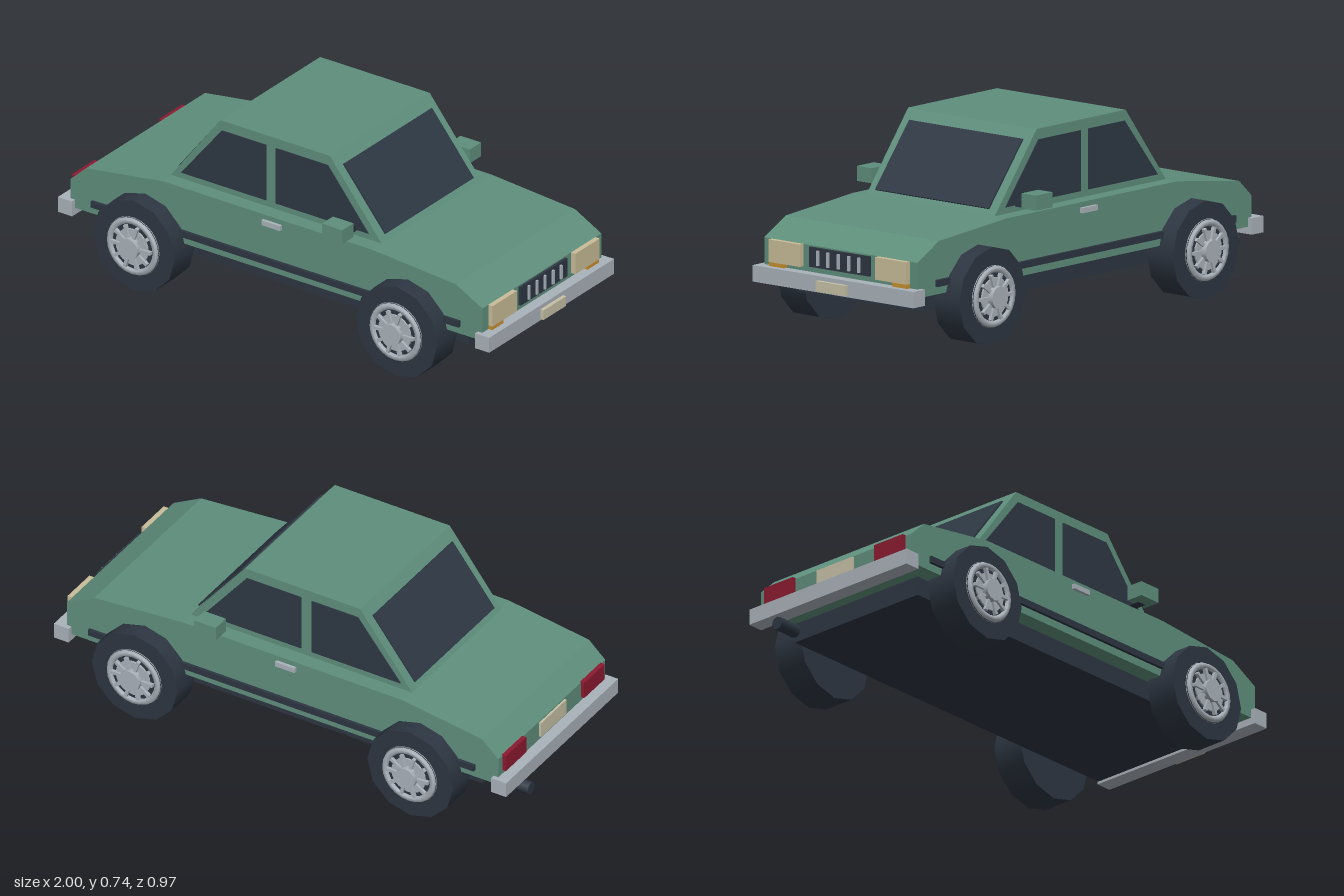
import * as THREE from 'three';

const mat = (name, color) => {
  const m = new THREE.MeshStandardMaterial({ color });
  m.name = name;
  return m;
};

export function createModel() {
  const car = new THREE.Group();
  car.name = 'car';
  const paint = mat('green paint', 0x5f8f7c);
  const dark = mat('dark rubber', 0x2d3642);
  const glass = mat('dark glass', 0x2e3844);
  const chrome = mat('chrome', 0xaab2ba);
  const cream = mat('headlight cream', 0xc9bd98);
  const plateMat = mat('plate ivory', 0xc6c1a6);
  const amber = mat('amber', 0xc8902c);
  const red = mat('tail light red', 0x8c1a30);

  const add = (name, geo, material, parent = car) => {
    const m = new THREE.Mesh(geo, material);
    m.name = name;
    parent.add(m);
    return m;
  };
  // Box given by its limits on each axis
  const box = (name, material, [x0, x1], [y0, y1], [z0, z1], parent = car) => {
    const m = add(name, new THREE.BoxGeometry(x1 - x0, y1 - y0, z1 - z0), material, parent);
    m.position.set((x0 + x1) / 2, (y0 + y1) / 2, (z0 + z1) / 2);
    return m;
  };
  // Side profile in x and y, extruded from z0 to z1
  const slab = (name, material, pts, z0, z1) => {
    const shape = new THREE.Shape(pts.map(([x, y]) => new THREE.Vector2(x, y)));
    const geo = new THREE.ExtrudeGeometry(shape, { depth: z1 - z0, bevelEnabled: false });
    return add(name, geo.translate(0, 0, z0), material);
  };
  // Side limits mirrored for s = -1
  const side = (s, a, b) => (s > 0 ? [a, b] : [-b, -a]);

  // Body, cabin and underside
  slab('body', paint, [[-0.94, 0.22], [0.94, 0.22], [0.94, 0.355], [0.82, 0.42],
    [0.44, 0.45], [-0.52, 0.45], [-0.87, 0.4], [-0.94, 0.335]], -0.378, 0.378);
  slab('cabin', paint, [[-0.53, 0.445], [0.44, 0.445], [0.2, 0.745], [-0.3, 0.745]], -0.317, 0.317);
  box('chassis', dark, [-0.83, 0.83], [0.145, 0.222], [-0.31, 0.31]);

  // Sloping windows, as thin plates lying on the cabin ends
  slab('windscreen', glass, [[0.424, 0.47], [0.429, 0.474], [0.2375, 0.709], [0.2325, 0.705]], -0.28, 0.28);
  slab('rearWindow', glass, [[-0.514, 0.47], [-0.331, 0.705], [-0.336, 0.709], [-0.519, 0.474]], -0.28, 0.28);

  for (const s of [1, -1]) {
    const label = s > 0 ? 'left' : 'right';
    const [w0, w1] = side(s, 0.315, 0.321);
    slab(label + 'RearSideWindow', glass, [[-0.478, 0.475], [-0.09, 0.475], [-0.09, 0.705], [-0.292, 0.705]], w0, w1);
    slab(label + 'FrontSideWindow', glass, [[-0.045, 0.475], [0.378, 0.475], [0.192, 0.705], [-0.045, 0.705]], w0, w1);

    // Side trim, handle and mirror
    box(label + 'SideTrim', dark, [-0.84, 0.84], [0.25, 0.276], side(s, 0.37, 0.39));
    box(label + 'DoorHandle', chrome, [-0.06, 0.025], [0.41, 0.43], side(s, 0.37, 0.391));
    box(label + 'MirrorArm', dark, [0.285, 0.322], [0.47, 0.495], side(s, 0.31, 0.395));
    box(label + 'Mirror', paint, [0.252, 0.346], [0.473, 0.53], side(s, 0.37, 0.441));

    // Lights
    box(label + 'Headlight', cream, [0.93, 0.96], [0.27, 0.355], side(s, 0.185, 0.34));
    box(label + 'Indicator', amber, [0.93, 0.957], [0.245, 0.27], side(s, 0.267, 0.34));
    box(label + 'TailLight', red, [-0.955, -0.93], [0.27, 0.338], side(s, 0.205, 0.35));
  }

  // Grille with upright bars
  box('grille', dark, [0.93, 0.951], [0.275, 0.35], [-0.148, 0.148]);
  for (let i = -2; i <= 2; i++) {
    const z = i * 0.051;
    box('grilleBar', chrome, [0.945, 0.959], [0.284, 0.341], [z - 0.005, z + 0.005]);
  }

  // Bumpers, plates and exhaust
  box('frontBumper', chrome, [0.92, 0.985], [0.192, 0.254], [-0.397, 0.397]);
  box('rearBumper', chrome, [-0.985, -0.92], [0.192, 0.254], [-0.397, 0.397]);
  box('frontPlate', plateMat, [0.98, 1], [0.198, 0.238], [-0.072, 0.072]);
  box('rearPlate', plateMat, [-0.949, -0.93], [0.268, 0.33], [-0.09, 0.09]);
  const exhaust = add('exhaust', new THREE.CylinderGeometry(0.026, 0.026, 0.1, 8), dark);
  exhaust.rotation.z = Math.PI / 2;
  exhaust.position.set(-0.95, 0.146, -0.243);

  // Wheels, built facing +z and turned round for the other side
  const disc = (name, material, r, z0, z1, sides, parent) => {
    const geo = new THREE.CylinderGeometry(r, r, z1 - z0, sides).rotateX(Math.PI / 2);
    return add(name, geo.translate(0, 0, (z0 + z1) / 2), material, parent);
  };
  for (const x of [-0.6, 0.6]) {
    for (const s of [1, -1]) {
      const wheel = new THREE.Group();
      wheel.name = (x > 0 ? 'front' : 'rear') + (s > 0 ? 'Left' : 'Right') + 'Wheel';
      wheel.position.set(x, 0.188, 0);
      if (s < 0) wheel.rotation.y = Math.PI;
      disc('tyre', dark, 0.187, 0.322, 0.45, 12, wheel);
      disc('rimBase', dark, 0.118, 0.445, 0.457, 24, wheel);
      const rim = add('rim', new THREE.TorusGeometry(0.104, 0.015, 6, 24), chrome, wheel);
      rim.position.z = 0.453;
      disc('innerDisc', chrome, 0.074, 0.45, 0.464, 20, wheel);
      for (let i = 0; i < 10; i++) {
        const spoke = add('spoke', new THREE.BoxGeometry(0.05, 0.013, 0.014).translate(0.065, 0, 0.466), chrome, wheel);
        spoke.rotation.z = (i * Math.PI) / 5;
      }
      disc('hubCap', chrome, 0.043, 0.45, 0.487, 12, wheel);
      car.add(wheel);
    }
  }
  return car;
}
